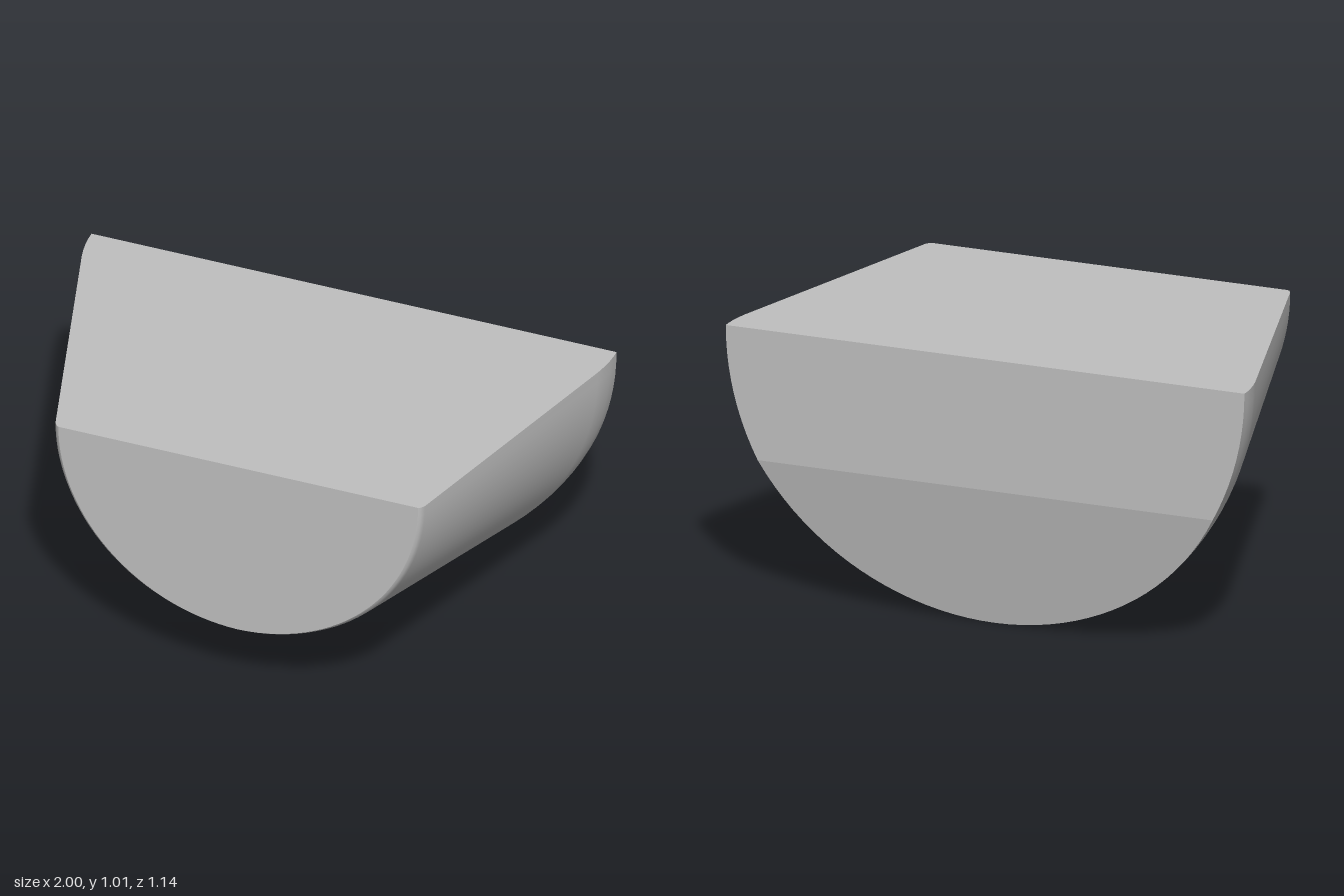
import * as THREE from 'three';

const TOP = 1.015, FRONT = 0.57, BACK = -0.57, BREAK_Y = 0.525;

// Radius along the axis, from front to back: [z, radius]
const PROFILE = [[0.57, 0.685], [0.565, 0.694], [0.55, 0.704], [-0.43, 0.983], [-0.47, 0.992], [-0.51, 0.998], [-0.54, 1], [-0.57, 1]];

function radiusAt(z, angle) {
  let k = 0;
  while (k < PROFILE.length - 2 && z < PROFILE[k + 1][0]) k++;
  const [z0, r0] = PROFILE[k], [z1, r1] = PROFILE[k + 1];
  const r = r0 + (r1 - r0) * (z - z0) / (z1 - z0);
  // The rounded front edge fades towards the bottom
  const sharp = 0.703 - (z - 0.555) * 0.285;
  return z > 0.55 ? sharp + (r - sharp) * (0.25 + 0.75 * Math.abs(Math.cos(angle))) : r;
}

function pointAt(z, angle) {
  const r = radiusAt(z, angle);
  return new THREE.Vector3(r * Math.cos(angle), Math.max(0, TOP - 1.02 * r * Math.sin(angle)), z);
}

// The lower back is cut off by a slanted plane
function backZ(angle) {
  let z = BACK;
  for (let i = 0; i < 12; i++) {
    const y = pointAt(z, angle).y;
    z = y < BREAK_Y ? -0.48 + (BACK + 0.48) * y / BREAK_Y : BACK;
  }
  return z;
}

// Half-circle angles, with one exactly on the edge of the slanted cut
function makeAngles() {
  const edge = Math.asin((TOP - BREAK_Y) / 1.02), half = [];
  for (let i = 0; i < 10; i++) half.push(edge * i / 10);
  for (let i = 0; i < 20; i++) half.push(edge + (Math.PI / 2 - edge) * i / 20);
  return [...half, Math.PI / 2, ...half.map(a => Math.PI - a).reverse()];
}

// Flat faces from a list of four-cornered panels
function panels(quads) {
  const points = quads.flatMap(([a, b, c, d]) => [a, b, c, a, c, d]);
  const geometry = new THREE.BufferGeometry().setFromPoints(points);
  geometry.computeVertexNormals();
  return geometry;
}

export function createModel() {
  const group = new THREE.Group();
  group.name = 'halfCone';
  const grey = new THREE.MeshStandardMaterial({ color: 0xc0c0c0 });
  grey.name = 'grey';
  const add = (name, geometry) => {
    const mesh = new THREE.Mesh(geometry, grey);
    mesh.name = name;
    group.add(mesh);
  };

  const angles = makeAngles(), n = angles.length - 1;
  const ends = angles.map(backZ);
  const rings = PROFILE.map(([z]) => {
    const t = (FRONT - z) / (FRONT - BACK);
    return angles.map((a, i) => pointAt(FRONT + (ends[i] - FRONT) * t, a));
  });

  // Smooth tapering shell
  const index = [];
  for (let k = 0; k < rings.length - 1; k++) {
    for (let i = 0; i < n; i++) {
      const a = k * (n + 1) + i, b = a + n + 1;
      index.push(a, a + 1, b + 1, a, b + 1, b);
    }
  }
  const shell = new THREE.BufferGeometry().setFromPoints(rings.flat());
  shell.setIndex(index);
  shell.computeVertexNormals();
  add('curvedShell', shell);

  // Flat ends, in horizontal strips between mirrored rim points
  const cap = ring => {
    const quads = [];
    for (let i = 0; i < n / 2; i++) quads.push([ring[i], ring[n - i], ring[n - i - 1], ring[i + 1]]);
    return quads;
  };
  add('frontFace', panels(cap(rings[0])));
  add('backFace', panels(cap(rings[rings.length - 1]).map(q => q.reverse())));

  // Flat top
  const top = [];
  for (let k = 0; k < rings.length - 1; k++) {
    top.push([rings[k][0], rings[k + 1][0], rings[k + 1][n], rings[k][n]]);
  }
  add('topFace', panels(top));
  return group;
}
